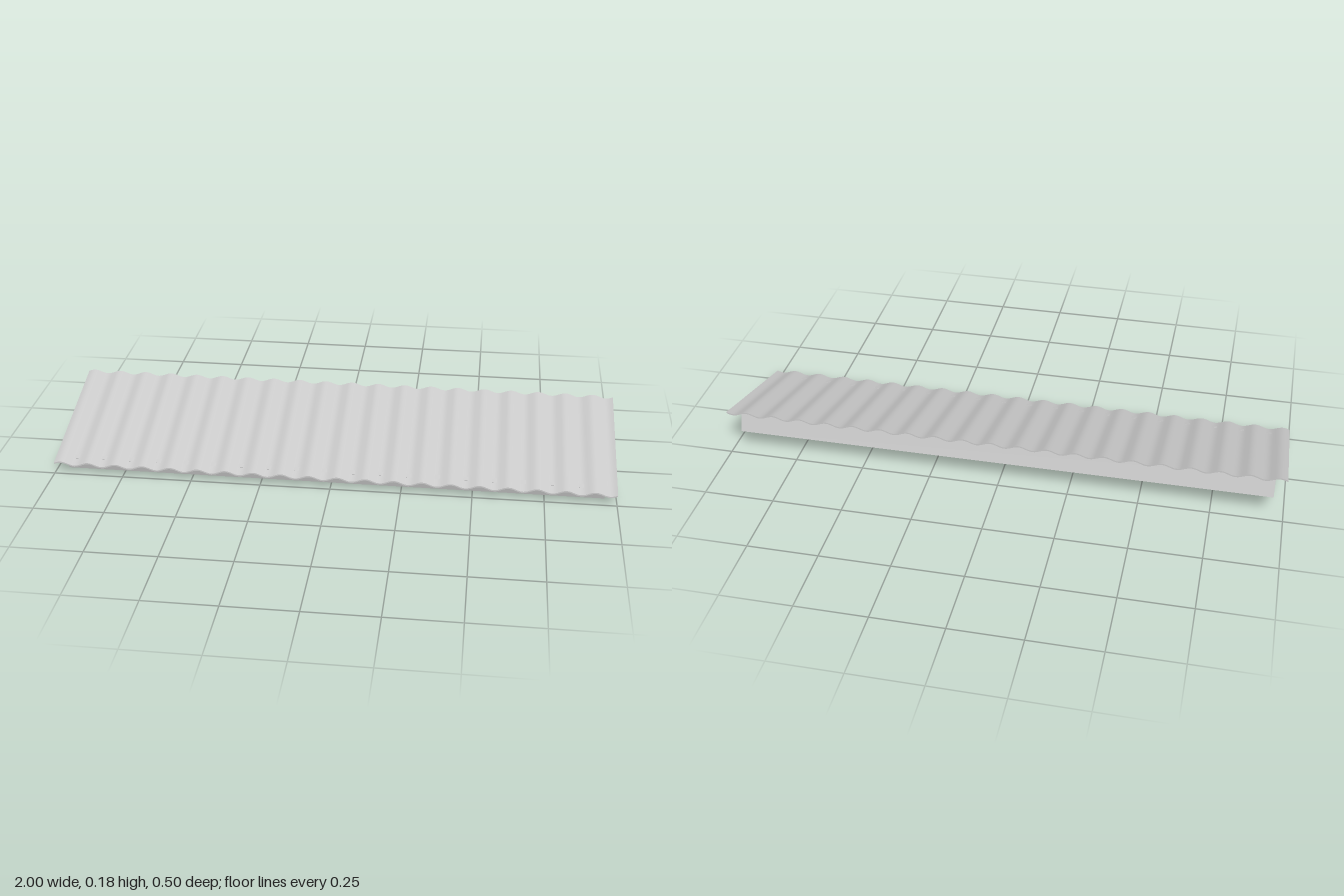
import * as THREE from 'three';
import { toCreasedNormals } from 'three/addons/utils/BufferGeometryUtils.js';

const SLOPE = 0.267;      // rise per unit of depth
const WAVES = 20;
const material = new THREE.MeshStandardMaterial({ color: 0xcccccc });

function add(group, name, geometry) {
  const mesh = new THREE.Mesh(geometry, material);
  mesh.name = name;
  group.add(mesh);
  return mesh;
}

// Extrude a [z, y] outline along x, centred on x = 0
function extrudeAlongX(points, width) {
  const shape = new THREE.Shape(points.map(([z, y]) => new THREE.Vector2(z, y)));
  const geometry = new THREE.ExtrudeGeometry(shape, { depth: width, bevelEnabled: false });
  geometry.translate(0, 0, -width / 2);
  geometry.rotateY(-Math.PI / 2);
  return geometry;
}

// Corrugated sheet: wavy strip extruded in depth, then sheared to the roof pitch
function corrugatedSheet() {
  const thickness = 0.005, height = 0.0065, steps = WAVES * 12;
  const lower = [], upper = [];
  for (let i = 0; i <= steps; i++) {
    const x = -1 + (2 * i) / steps;
    const y = 0.1035 + height * Math.sin(WAVES * Math.PI * (x + 1));
    lower.push(new THREE.Vector2(x, y - thickness / 2));
    upper.unshift(new THREE.Vector2(x, y + thickness / 2));
  }
  const geometry = new THREE.ExtrudeGeometry(new THREE.Shape([...lower, ...upper]), {
    depth: 0.5, bevelEnabled: false,
  });
  geometry.translate(0, 0, -0.25);
  const p = geometry.attributes.position;
  for (let i = 0; i < p.count; i++) p.setY(i, p.getY(i) + 0.0025 - SLOPE * p.getZ(i));
  return toCreasedNormals(geometry, 0.6);
}

export function createModel() {
  const group = new THREE.Group();
  group.name = 'corrugatedAwning';

  add(group, 'corrugatedSheet', corrugatedSheet());

  // Shaped side boards, deeper at the back
  const sideOutline = [
    [0.214, 0.046], [0.202, 0], [-0.01, 0.058],
    [-0.12, 0.053], [-0.23, 0.083], [-0.21, 0.158],
  ];
  for (const side of [-1, 1]) {
    const board = add(group, side > 0 ? 'leftSideBoard' : 'rightSideBoard',
      extrudeAlongX(sideOutline, 0.02));
    board.position.x = side * 0.95;
  }

  // Front and back boards, square to the pitch
  add(group, 'frontBoard', extrudeAlongX(
    [[0.214, 0.046], [0.202, 0], [0.183, 0.005], [0.195, 0.051]], 1.92));
  add(group, 'backBoard', extrudeAlongX(
    [[-0.191, 0.153], [-0.211, 0.078], [-0.23, 0.083], [-0.21, 0.158]], 1.92));

  // Cross rod between the side boards
  const rod = new THREE.CylinderGeometry(0.011, 0.011, 1.89, 16);
  rod.rotateZ(Math.PI / 2);
  add(group, 'crossRod', rod).position.set(0, 0.054, 0.069);

  return group;
}
